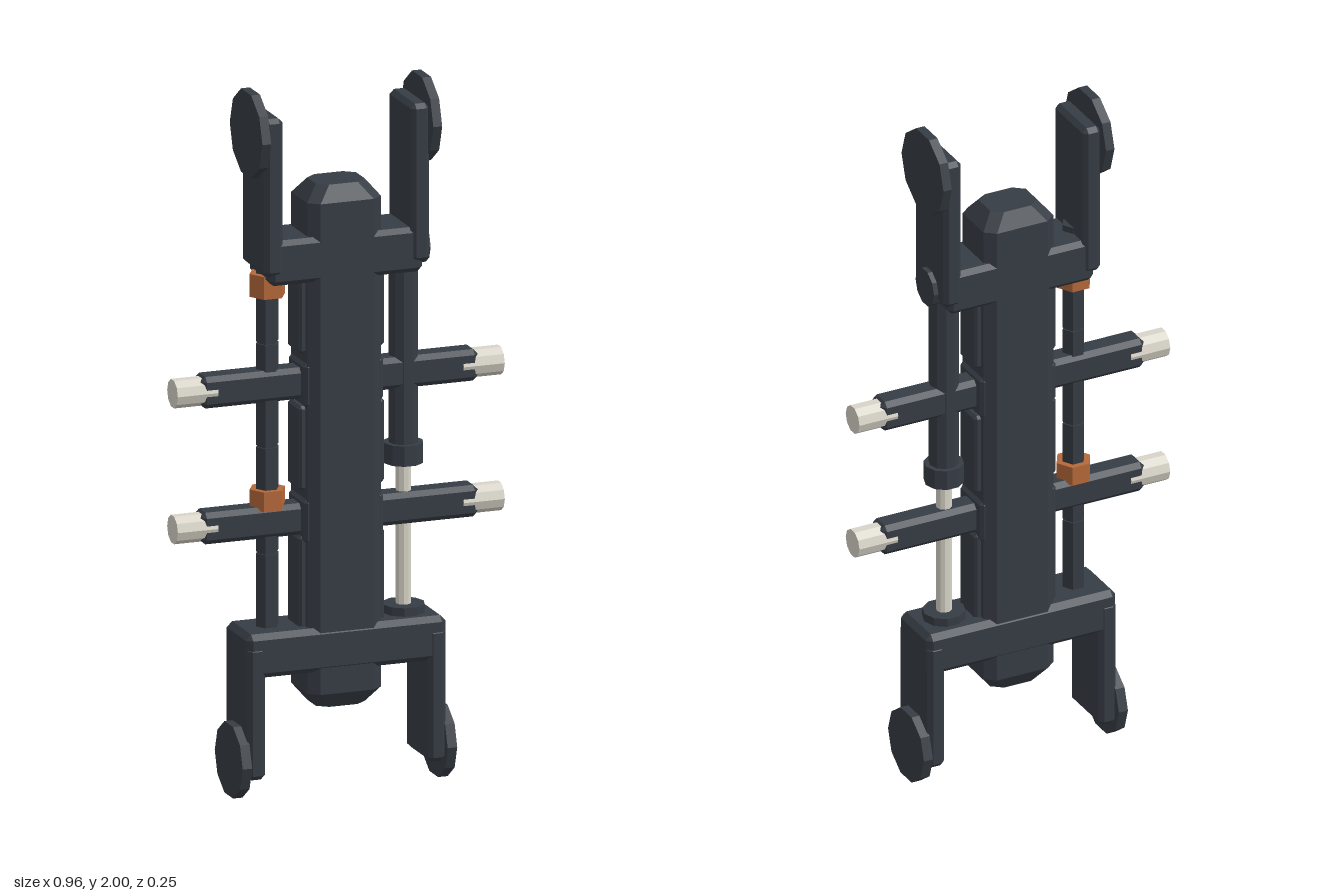
import * as THREE from 'three';
import { ConvexGeometry } from 'three/addons/geometries/ConvexGeometry.js';

export function createModel() {
  const root = new THREE.Group();
  root.name = 'strutFrame';

  const material = (name, color) => {
    const m = new THREE.MeshStandardMaterial({ color, flatShading: true });
    m.name = name;
    return m;
  };
  const dark = material('darkSteel', 0x363c44);
  const orange = material('orangeFitting', 0xb5683a);
  const silver = material('paleMetal', 0xd8d4c8);

  const add = (name, geometry, mat, x, y, z = 0) => {
    const mesh = new THREE.Mesh(geometry, mat);
    mesh.name = name;
    mesh.position.set(x, y, z);
    root.add(mesh);
    return mesh;
  };

  // Box with every edge bevelled, given by its x and y limits and half depth
  const block = (name, x0, x1, y0, y1, d, c, mat = dark) => {
    const w = (x1 - x0) / 2, h = (y1 - y0) / 2;
    const points = [];
    for (const sx of [-1, 1]) for (const sy of [-1, 1]) for (const sz of [-1, 1]) {
      points.push(
        new THREE.Vector3(sx * w, sy * (h - c), sz * (d - c)),
        new THREE.Vector3(sx * (w - c), sy * h, sz * (d - c)),
        new THREE.Vector3(sx * (w - c), sy * (h - c), sz * d));
    }
    return add(name, new ConvexGeometry(points), mat, (x0 + x1) / 2, (y0 + y1) / 2);
  };

  // Same, mirrored to both sides
  const pair = (name, x0, x1, y0, y1, d, c) => {
    block(name + 'Left', x0, x1, y0, y1, d, c);
    block(name + 'Right', -x1, -x0, y0, y1, d, c);
  };

  // Upright faceted cylinder with a corner facing sideways
  const post = (name, x, y0, y1, r, mat = dark, sides = 10) => {
    const g = new THREE.CylinderGeometry(r, r, y1 - y0, sides).rotateY(Math.PI / 2);
    return add(name, g, mat, x, (y0 + y1) / 2);
  };

  // Faceted cylinder lying along x, with corners facing front and back
  const disc = (name, x0, x1, y, r, mat = dark) => {
    const g = new THREE.CylinderGeometry(r, r, x1 - x0, 10).rotateZ(Math.PI / 2);
    return add(name, g, mat, (x0 + x1) / 2, y);
  };

  // Central column: octagonal in plan, tapered at both ends
  const columnPoints = [];
  for (const [y, inset] of [[0.24, 0.036], [0.285, 0], [1.683, 0], [1.728, 0.036]]) {
    const w = 0.108 - inset, d = 0.086 - inset * 0.8, c = 0.03;
    for (const sx of [-1, 1]) for (const sz of [-1, 1]) {
      columnPoints.push(
        new THREE.Vector3(sx * w, y, sz * (d - c * 0.8)),
        new THREE.Vector3(sx * (w - c), y, sz * d));
    }
  }
  add('column', new ConvexGeometry(columnPoints), dark, 0, 0);

  // Side rails in three lengths
  [[0.46, 0.73], [0.86, 1.1], [1.25, 1.48]].forEach(([y0, y1], i) =>
    pair('rail' + (i + 1), 0.09, 0.126, y0, y1, 0.047, 0.008));

  // Crossbeams with fork arms and end pads
  block('upperBeam', -0.225, 0.225, 1.46, 1.588, 0.086, 0.014);
  block('lowerBeam', -0.293, 0.293, 0.348, 0.474, 0.089, 0.016);
  pair('upperArm', 0.188, 0.243, 1.49, 1.94, 0.093, 0.013);
  pair('lowerArm', 0.238, 0.291, 0.06, 0.44, 0.091, 0.013);
  for (const [side, s] of [['Left', 1], ['Right', -1]]) {
    const pad = (name, a, b, y, r) =>
      disc(name + side, Math.min(s * a, s * b), Math.max(s * a, s * b), y, r);
    pad('upperPad', 0.238, 0.264, 1.881, 0.125);
    pad('lowerPad', 0.287, 0.315, 0.102, 0.107);
  }
  disc('pivotCap', 0.22, 0.257, 1.52, 0.055);

  // Spokes with clamps and metal tips
  for (const [level, y] of [['lower', 0.775], ['upper', 1.162]]) {
    pair(level + 'Clamp', 0.07, 0.117, y - 0.063, y + 0.063, 0.066, 0.01);
    pair(level + 'Spoke', 0.1, 0.407, y - 0.045, y + 0.045, 0.038, 0.014);
    disc(level + 'TipLeft', 0.36, 0.48, y, 0.041, silver);
    disc(level + 'TipRight', -0.48, -0.36, y, 0.041, silver);
  }

  // Piston: barrel, collar, rod and foot
  post('pistonBarrel', 0.198, 0.94, 1.5, 0.042);
  post('pistonCollar', 0.198, 0.9, 0.958, 0.056);
  post('pistonRod', 0.198, 0.48, 0.92, 0.022, silver);
  post('pistonFoot', 0.198, 0.46, 0.498, 0.06);

  // Segmented hexagonal pole with two orange fittings
  [[0.45, 0.682], [0.688, 0.985], [0.991, 1.28], [1.286, 1.606]].forEach(([y0, y1], i) =>
    post('poleSegment' + (i + 1), -0.202, y0, y1, 0.033, dark, 6));
  post('poleCore', -0.202, 0.45, 1.5, 0.028, dark, 6);
  post('lowerFitting', -0.202, 0.81, 0.866, 0.052, orange, 6);
  post('upperFitting', -0.202, 1.415, 1.48, 0.052, orange, 6);

  return root;
}
